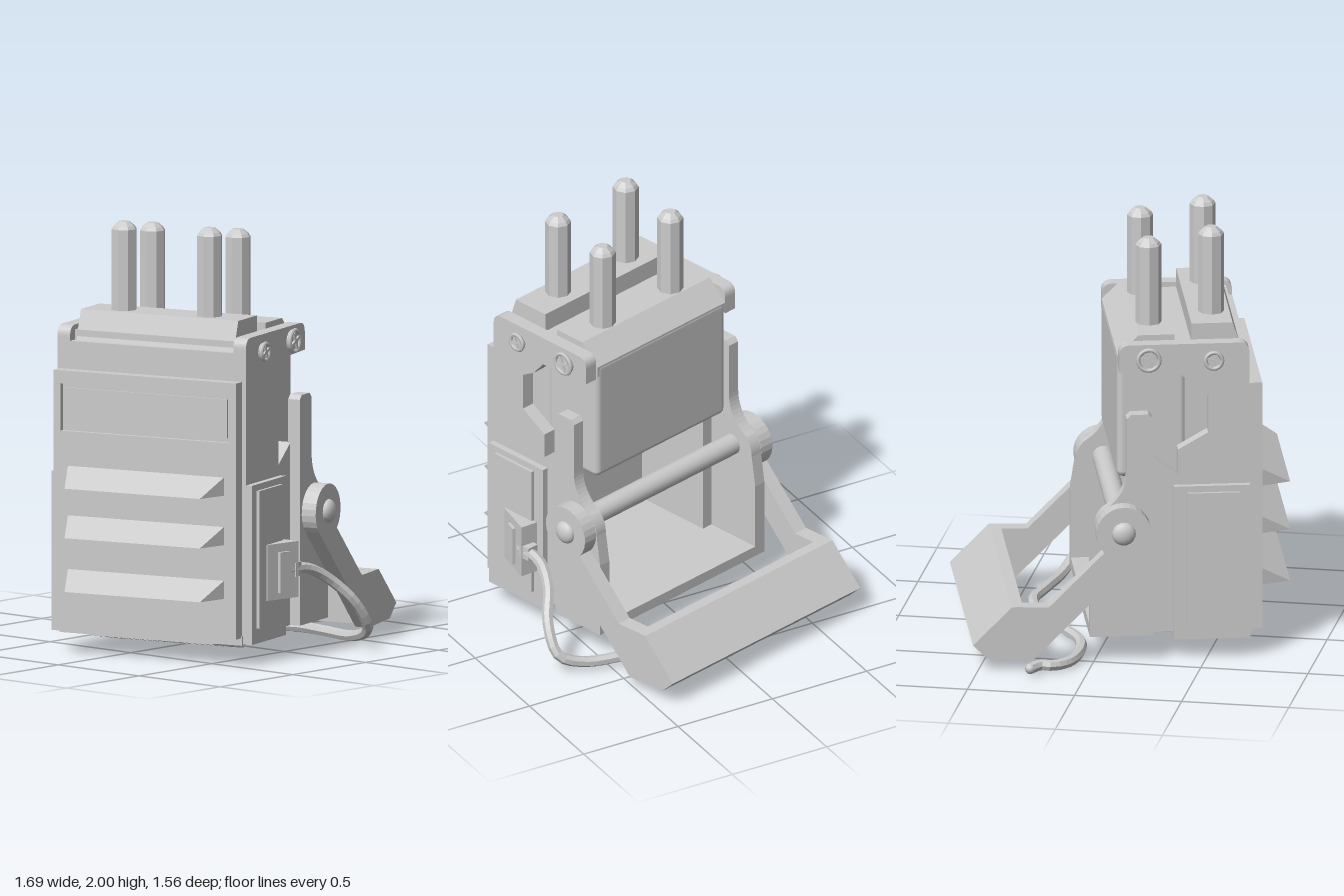
import * as THREE from 'three';
import { RoundedBoxGeometry } from 'three/addons/geometries/RoundedBoxGeometry.js';

const grey = new THREE.MeshStandardMaterial({ color: 0xcccccc });
const flat = new THREE.MeshStandardMaterial({ color: 0xcccccc, flatShading: true });

export function createModel() {
  const model = new THREE.Group();
  model.name = 'connectorDevice';

  // The device is turned about the vertical axis; the cable stays in the outer frame.
  const device = new THREE.Group();
  device.name = 'device';
  device.rotation.y = 0.265;
  device.position.set(0.008, 0, 0.029);
  model.add(device);

  const add = (name, geometry, material = flat, parent = device) => {
    const mesh = new THREE.Mesh(geometry, material);
    mesh.name = name;
    parent.add(mesh);
    return mesh;
  };
  // Box given by its limits on each axis
  const box = (name, x0, x1, y0, y1, z0, z1) => {
    const mesh = add(name, new THREE.BoxGeometry(x1 - x0, y1 - y0, z1 - z0));
    mesh.position.set((x0 + x1) / 2, (y0 + y1) / 2, (z0 + z1) / 2);
    return mesh;
  };
  const shapeOf = (pts) => new THREE.Shape(pts.map(([x, y]) => new THREE.Vector2(x, y)));
  const rectPath = (x0, x1, y0, y1) =>
    shapeOf([[x0, y0], [x1, y0], [x1, y1], [x0, y1]]);
  const slab = (name, shape, z0, z1) => {
    const mesh = add(name, new THREE.ExtrudeGeometry(shape, { depth: z1 - z0, bevelEnabled: false, curveSegments: 10 }));
    mesh.position.z = z0;
    return mesh;
  };
  // Limits of a part that lies between a and b on the given side
  const range = (s, a, b) => (s > 0 ? [a, b] : [-b, -a]);
  const disc = (name, r, x, y, z0, z1) => {
    const mesh = add(name, new THREE.CylinderGeometry(r, r, z1 - z0, 20), grey);
    mesh.rotation.x = Math.PI / 2;
    mesh.position.set(x, y, (z0 + z1) / 2);
  };

  // Core, back of the recess and floor
  box('upperCore', -0.56, -0.08, 0.9, 1.5, -0.41, 0.41);
  box('recessBack', -0.59, -0.53, 0.13, 1.45, -0.42, 0.42);
  box('floor', -0.59, 0.15, 0.13, 0.18, -0.475, 0.475);
  const block = add('sideBlock', new RoundedBoxGeometry(0.32, 0.6, 0.84, 3, 0.03), grey);
  block.position.set(-0.145, 1.16, 0);

  // Top steps with sloping outer sides, and the contact pins
  slab('tallStep', shapeOf([[-0.57, 1.44], [-0.33, 1.44], [-0.33, 1.59], [-0.52, 1.59]]), -0.4, 0.41);
  slab('lowStep', shapeOf([[-0.25, 1.4], [0.013, 1.4], [0.013, 1.45], [-0.085, 1.545], [-0.25, 1.545]]), -0.415, 0.415);
  const pinProfile = [[0.06, 0], [0.06, 0.375], [0.05, 0.39], [0.025, 0.41], [0, 0.41]]
    .map(([r, y]) => new THREE.Vector2(r, y));
  for (const [x, y] of [[-0.436, 1.59], [-0.147, 1.545]]) {
    for (const z of [-0.22, 0.22]) {
      add('contactPin', new THREE.LatheGeometry(pinProfile, 8)).position.set(x, y, z);
    }
  }

  // Outer plate with a long window, backed by the recess wall
  const plate = rectPath(-0.475, 0.465, 0.13, 1.32);
  plate.holes.push(rectPath(-0.44, 0.43, 1.04, 1.26));
  const outer = slab('outerPlate', plate, 0, 0.07);
  outer.rotation.y = -Math.PI / 2;
  outer.position.set(-0.58, 0, 0);
  box('windowBack', -0.625, -0.585, 1.02, 1.28, -0.45, 0.45);
  box('windowPanel', -0.635, -0.6, 1.06, 1.24, -0.42, 0.41);

  // Tapered fins on the outer plate
  for (const y of [0.795, 0.565, 0.315]) {
    const fin = new THREE.ExtrudeGeometry(
      shapeOf([[-0.79, y], [-0.64, y], [-0.64, y + 0.09]]), { depth: 0.81, bevelEnabled: false });
    fin.translate(0, 0, -0.405);
    const p = fin.attributes.position;
    for (let i = 0; i < p.count; i++) if (p.getX(i) < -0.7) p.setZ(i, p.getZ(i) * 0.86);
    fin.computeVertexNormals();
    add('fin', fin);
  }

  // Side wall outline with the cut-out that leaves a bracket at the top
  const wall = new THREE.Shape();
  wall.moveTo(-0.59, 0.13);
  for (const [x, y] of [[-0.134, 0.13], [-0.134, 0.98], [-0.26, 0.89], [-0.26, 1.01], [-0.4, 1.09],
    [-0.4, 1.27], [-0.33, 1.31], [-0.27, 1.38], [0.01, 1.39], [0.01, 1.47]]) wall.lineTo(x, y);
  wall.quadraticCurveTo(0.01, 1.52, -0.04, 1.52);
  wall.lineTo(-0.54, 1.52);
  wall.quadraticCurveTo(-0.59, 1.52, -0.59, 1.47);

  // Pivot plate: narrow post, flared down to a round lug
  const lug = new THREE.Shape();
  lug.moveTo(-0.14, 0.13);
  lug.lineTo(0.15, 0.13);
  lug.lineTo(0.15, 0.5);
  lug.lineTo(0.127, 0.65);
  lug.absarc(0, 0.65, 0.127, 0, Math.PI / 4, false);
  lug.quadraticCurveTo(-0.02, 0.81, -0.02, 0.92);
  lug.lineTo(-0.02, 1.18);
  lug.lineTo(-0.04, 1.2);
  lug.lineTo(-0.12, 1.2);
  lug.lineTo(-0.14, 1.18);

  // Handle arm: round at the pivot, running down at 45 degrees
  const arm = new THREE.Shape();
  arm.moveTo(0.1, 0.55);
  arm.absarc(0, 0.65, 0.127, -Math.PI / 4, Math.PI * 1.25, false);
  arm.lineTo(0.42, 0.05);
  arm.lineTo(0.55, 0.06);
  arm.lineTo(0.515, 0.31);
  arm.lineTo(0.345, 0.305);

  for (const s of [1, -1]) {
    slab('sideWall', wall, ...range(s, 0.42, 0.485));
    box('sidePanel', -0.59, -0.24, 0.1, 0.84, ...range(s, 0.47, 0.515));
    box('panelInset', -0.54, -0.3, 0.17, 0.81, ...range(s, 0.51, 0.53));
    slab('pivotPlate', lug, ...range(s, 0.475, 0.535));
    slab('handleArm', arm, ...range(s, 0.538, 0.61));
    disc('pivotPin', 0.07, 0, 0.65, ...range(s, 0.5, 0.6));
    const cap = add('pivotCap', new THREE.SphereGeometry(0.055, 16, 10), grey);
    cap.position.set(0, 0.65, s * 0.61);
    cap.scale.z = 0.6;
    // Bracket screws with a raised rim and crossed drive
    for (const [x, y, r] of [[-0.425, 1.44, 0.045], [-0.125, 1.45, 0.058]]) {
      disc('screw', r * 0.9, x, y, ...range(s, 0.48, 0.5));
      const rim = add('screwRim', new THREE.TorusGeometry(r * 0.85, 0.01, 6, 20), grey);
      rim.position.set(x, y, s * 0.5);
      for (const a of [0.4, 0.4 + Math.PI / 2]) {
        const bar = add('screwCross', new THREE.BoxGeometry(r * 1.4, 0.012, 0.02));
        bar.position.set(x, y, s * 0.5);
        bar.rotation.z = a;
      }
    }
  }

  // Cross rod and the handle's grip bar
  disc('crossRod', 0.05, 0, 0.667, -0.5, 0.5);
  slab('gripBar', shapeOf([[0.475, 0.055], [0.63, 0.065], [0.696, 0.13], [0.516, 0.31], [0.465, 0.31]]), -0.61, 0.61);

  // Base plate and a slotted foot whose underside slopes down towards the handle
  box('basePlate', -0.6, -0.24, 0.095, 0.14, -0.47, 0.47);
  const footShape = rectPath(-0.57, -0.27, -0.31, 0.31);
  for (const x of [-0.53, -0.39]) {
    for (const z of [-0.27, 0.03]) footShape.holes.push(rectPath(x, x + 0.08, z, z + 0.24));
  }
  const foot = new THREE.ExtrudeGeometry(footShape, { depth: 0.05, bevelEnabled: false });
  foot.rotateX(Math.PI / 2);
  const fp = foot.attributes.position;
  for (let i = 0; i < fp.count; i++) {
    fp.setY(i, fp.getY(i) < -0.01 ? 0.085 - 0.055 * (fp.getX(i) + 0.57) / 0.3 : 0.1);
  }
  foot.computeVertexNormals();
  add('slottedFoot', foot);

  // Wedge-shaped cable socket on the front panel
  const socket = new THREE.ExtrudeGeometry(
    shapeOf([[-0.47, -0.52], [-0.275, -0.52], [-0.29, -0.605], [-0.47, -0.535]].reverse()),
    { depth: 0.26, bevelEnabled: false });
  socket.rotateX(-Math.PI / 2);
  add('cableSocket', socket).position.y = 0.29;
  const key = box('socketKey', -0.41, -0.35, 0.32, 0.51, 0.555, 0.585);
  key.rotation.y = -0.37;
  box('cableNeck', -0.31, -0.25, 0.385, 0.45, 0.54, 0.6);

  // Loose cable, falling from the socket and trailing to the back
  const path = [[-0.16, 0.42, 0.665], [0, 0.405, 0.65], [0.12, 0.34, 0.68], [0.22, 0.23, 0.74],
    [0.31, 0.1, 0.735], [0.345, 0.05, 0.62], [0.385, 0.045, 0.4], [0.41, 0.045, 0.22], [0.35, 0.04, 0.05],
    [0.2, 0.035, -0.15], [0.1, 0.035, -0.3], [0.075, 0.03, -0.44], [0.1, 0.03, -0.6], [0.16, 0.035, -0.685],
    [0.215, 0.04, -0.7], [0.25, 0.04, -0.76]].map((p) => new THREE.Vector3(...p));
  const curve = new THREE.CatmullRomCurve3(path);
  add('cable', new THREE.TubeGeometry(curve, 60, 0.026, 7), flat, model);
  const tip = add('cableTip', new THREE.SphereGeometry(0.025, 8, 6), grey, model);
  tip.position.copy(path[path.length - 1]);

  return model;
}
